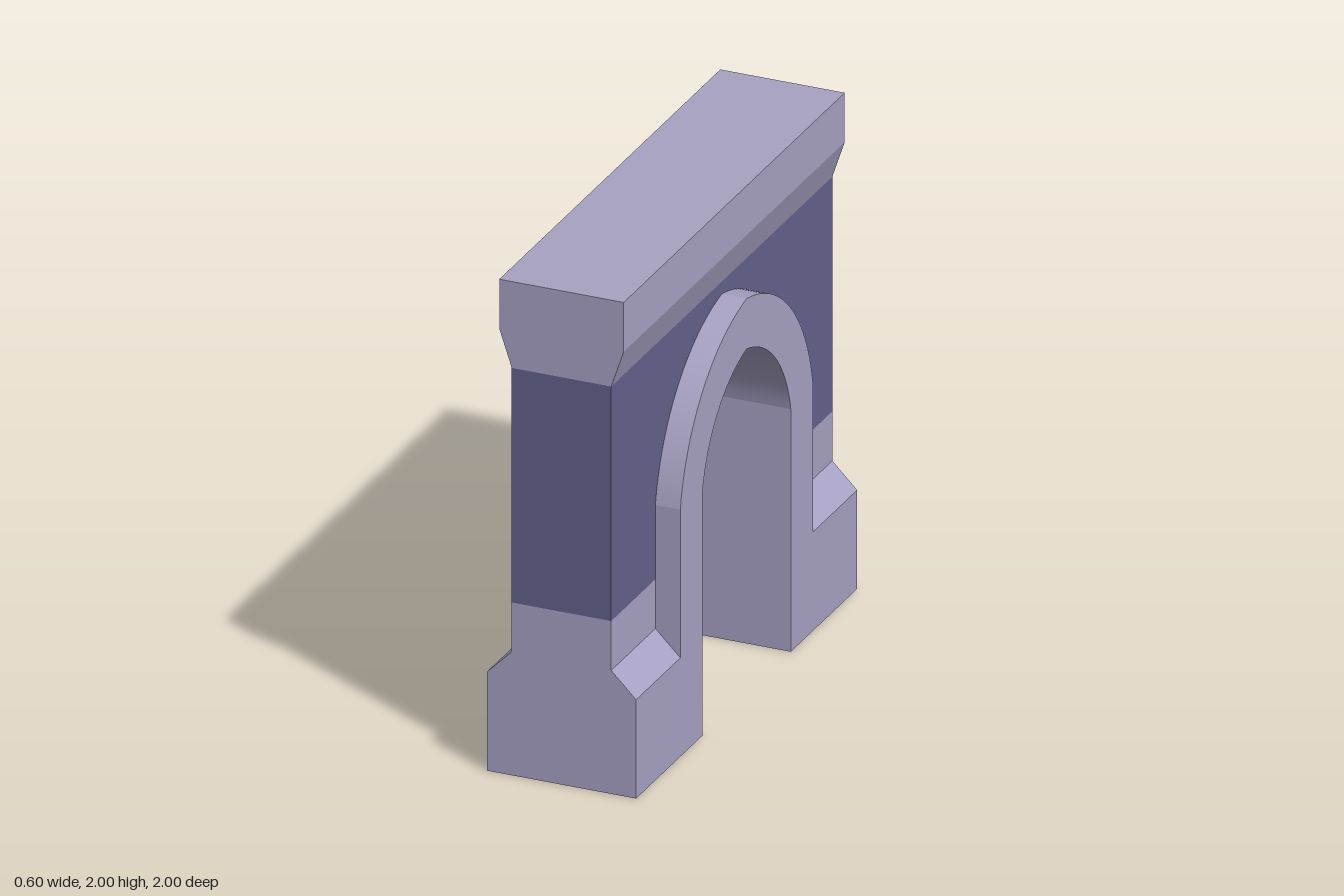
import * as THREE from 'three';
import { toCreasedNormals } from 'three/addons/utils/BufferGeometryUtils.js';

const stone = new THREE.MeshStandardMaterial({ color: 0xa8a2c4 });
const darkStone = new THREE.MeshStandardMaterial({ color: 0x64618c });

// Pointed arch curve from +halfWidth over the apex to -halfWidth; each side is
// an arc whose centre lies a little beyond the middle line.
const OFFSET = 0.12, CENTRE_Y = 0.88, STEPS = 24;
function archCurve(halfWidth, radius) {
  const start = Math.acos((halfWidth + OFFSET) / radius);
  const end = Math.acos(OFFSET / radius);
  const side = [];
  for (let i = 0; i <= STEPS; i++) {
    const a = start + (end - start) * i / STEPS;
    side.push([radius * Math.cos(a) - OFFSET, CENTRE_Y + radius * Math.sin(a)]);
  }
  const mirrored = side.slice(0, -1).reverse().map(([z, y]) => [-z, y]);
  return [...side, ...mirrored];
}

// Extrudes an outline by the given depth, centred on its own axis
function extrude(points, depth) {
  const shape = new THREE.Shape(points.map(([u, v]) => new THREE.Vector2(u, v)));
  const geometry = new THREE.ExtrudeGeometry(shape, { depth, bevelEnabled: false });
  geometry.translate(0, 0, -depth / 2);
  return geometry;
}

// Mirrors a right-hand x, y profile to make a closed outline
const symmetric = half => [...half, ...half.slice().reverse().map(([x, y]) => [-x, y])];

export function createModel() {
  const group = new THREE.Group();
  const add = (name, geometry, material, z = 0) => {
    const mesh = new THREE.Mesh(toCreasedNormals(geometry, 0.15), material);
    mesh.name = name;
    mesh.position.z = z;
    group.add(mesh);
  };

  const outer = archCurve(0.6, 0.73);
  const inner = archCurve(0.4, 0.53);

  // Projecting arch surround with its two legs
  const surround = [[0.4, 0], [0.6, 0], ...outer, [-0.6, 0], [-0.4, 0], ...inner.slice().reverse()];
  add('archSurround', extrude(surround, 0.6).rotateY(Math.PI / 2), stone);

  // Dark wall fitted around the arch
  const wall = [[0.6, 0.7], [1, 0.7], [1, 1.65], [-1, 1.65], [-1, 0.7], [-0.6, 0.7], ...outer.slice().reverse()];
  add('wall', extrude(wall, 0.4).rotateY(Math.PI / 2), darkStone);

  // Stepped bases with sloped shoulders, one at each end
  const base = symmetric([[0.3, 0], [0.3, 0.4], [0.2, 0.5], [0.2, 0.7]]);
  add('frontBase', extrude(base, 0.4), stone, 0.8);
  add('backBase', extrude(base, 0.4), stone, -0.8);

  // Flared coping along the top
  const coping = symmetric([[0.2, 1.65], [0.25, 1.8], [0.25, 2]]);
  add('coping', extrude(coping, 2), stone);

  return group;
}
